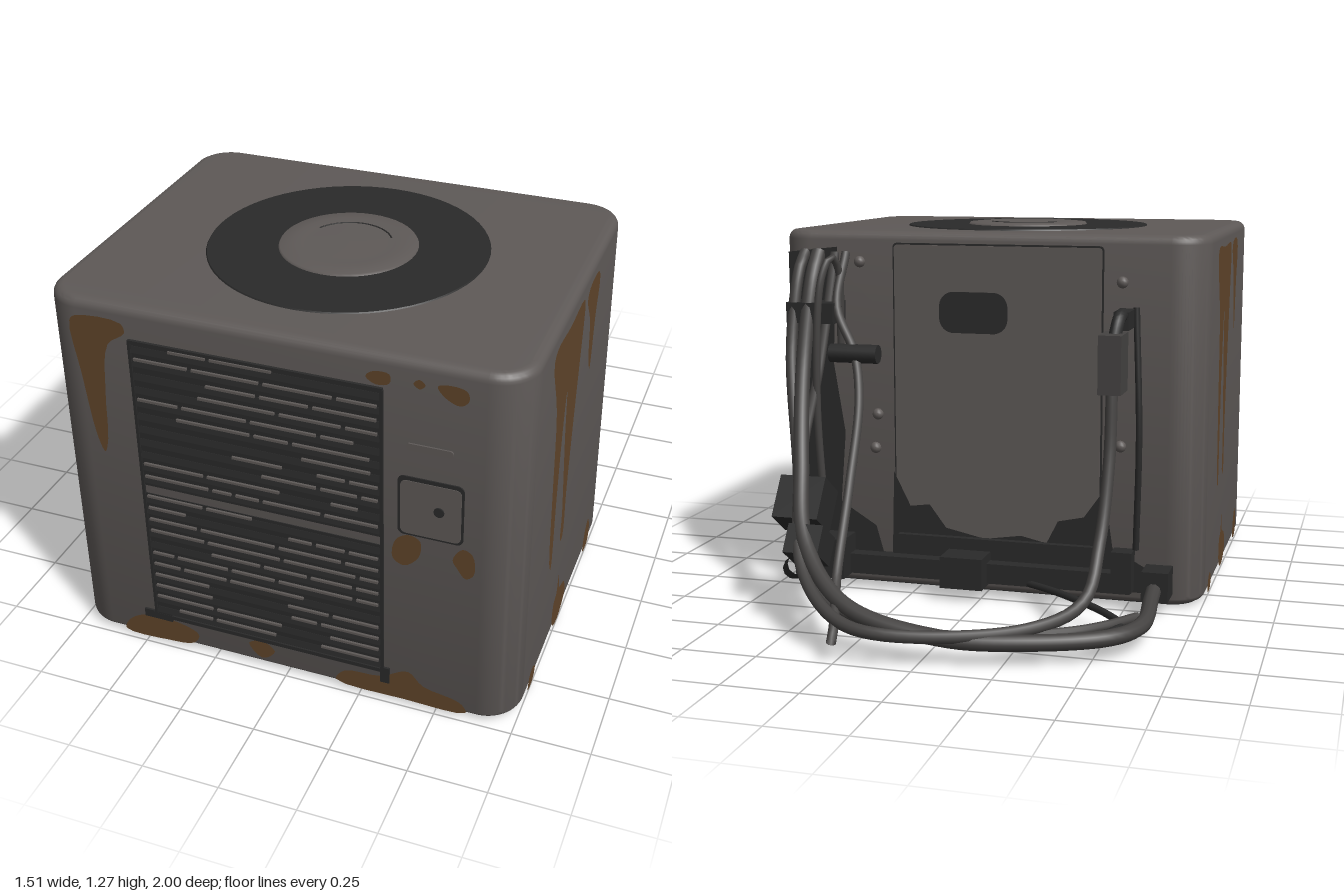
import * as THREE from 'three';
import { toCreasedNormals } from 'three/addons/utils/BufferGeometryUtils.js';

const mat = (name, color, side = THREE.FrontSide) => {
  const m = new THREE.MeshStandardMaterial({ color, side });
  m.name = name;
  return m;
};

export function createModel() {
  const casing = mat('casing grey', 0x5e5957);
  const dark = mat('charcoal', 0x2a2a2a);
  const cableGrey = mat('cable grey', 0x454342, THREE.DoubleSide);
  const rust = mat('rust', 0x60452a, THREE.DoubleSide);
  const root = new THREE.Group();
  const CZ = 0.3975, HZ = 0.5875, FRONT = 0.985, BACK = -0.19;

  const add = (name, geo, material, x = 0, y = 0, z = 0, parent = root) => {
    const m = new THREE.Mesh(geo, material);
    m.name = name;
    m.position.set(x, y, z);
    parent.add(m);
    return m;
  };
  const box = (name, material, x, y, z, w, h, d, parent) =>
    add(name, new THREE.BoxGeometry(w, h, d), material, x, y, z, parent);

  const roundRect = (w, h, r) => {
    const s = new THREE.Shape();
    s.moveTo(-w + r, -h).lineTo(w - r, -h).absarc(w - r, -h + r, r, -Math.PI / 2, 0);
    s.lineTo(w, h - r).absarc(w - r, h - r, r, 0, Math.PI / 2);
    s.lineTo(-w + r, h).absarc(-w + r, h - r, r, Math.PI / 2, Math.PI);
    s.lineTo(-w, -h + r).absarc(-w + r, -h + r, r, Math.PI, Math.PI * 1.5);
    return s;
  };
  const plate = (w, h, r, depth) =>
    new THREE.ExtrudeGeometry(roundRect(w, h, r), { depth, bevelEnabled: false, curveSegments: 6 });

  // Outline smoothed through a few points, used for stains and ragged edges
  const patch = (name, pts, material, parent, smooth = true) => {
    const v = pts.map(p => new THREE.Vector2(p[0], p[1]));
    let shape;
    if (smooth) {
      const c = new THREE.CatmullRomCurve3(v.map(p => new THREE.Vector3(p.x, p.y, 0)), true, 'centripetal');
      shape = new THREE.Shape(c.getPoints(v.length * 4).slice(0, -1).map(p => new THREE.Vector2(p.x, p.y)));
    } else shape = new THREE.Shape(v);
    return add(name, new THREE.ShapeGeometry(shape), material, 0, 0, 0, parent);
  };

  // Casing with rounded corners and softened edges
  const bev = 0.03;
  const bodyGeo = new THREE.ExtrudeGeometry(roundRect(0.75 - bev, HZ - bev, 0.09), {
    depth: 1.245 - 2 * bev, bevelThickness: bev, bevelSize: bev, bevelSegments: 5, curveSegments: 8,
  });
  bodyGeo.rotateX(-Math.PI / 2);
  add('casing', toCreasedNormals(bodyGeo, 0.6), casing, 0, 0.01 + bev, CZ);

  // Underside and feet
  const under = plate(0.72, HZ - 0.03, 0.09, 0.006);
  under.rotateX(-Math.PI / 2);
  add('underside', under, dark, 0, 0.005, CZ);
  for (const x of [-0.55, 0, 0.55]) for (const z of [-0.05, 0.4, 0.85])
    add('foot', new THREE.CylinderGeometry(0.05, 0.035, 0.012, 20), dark, x, 0.006, z);

  // Fan opening on top, with its hub
  add('fanRing', new THREE.CylinderGeometry(0.44, 0.445, 0.008, 64), dark, 0, 1.255, 0.39);
  const hub = [[0.22, 0], [0.215, 0.009], [0.17, 0.013], [0.145, 0.011], [0.12, 0.012], [0, 0.013]];
  add('fanHub', new THREE.LatheGeometry(hub.map(p => new THREE.Vector2(...p)), 48), casing, 0, 1.257, 0.39);
  const arc = add('hubGroove', new THREE.TorusGeometry(0.135, 0.003, 6, 32, 2.2), dark, 0, 1.268, 0.39);
  arc.rotation.set(-Math.PI / 2, 0, 0.5);

  // Front grille: two louvred panels
  let seed = 7;
  const rand = () => (seed = (seed * 16807) % 2147483647) / 2147483647;
  const gx = -0.065;
  const grille = new THREE.Group();
  grille.name = 'grille';
  root.add(grille);
  for (const [y0, y1] of [[0.12, 0.605], [0.635, 1.145]]) {
    box('grilleBacking', dark, gx, (y0 + y1) / 2, FRONT, 0.785, y1 - y0, 0.006, grille);
    const n = 11, step = (y1 - y0) / n;
    for (let i = 0; i < n; i++) {
      const y = y0 + (i + 0.5) * step;
      box('louvre', dark, gx, y, 0.988, 0.77, 0.022, 0.008, grille).rotation.x = -0.2;
      // Worn light edges, broken into uneven lengths
      let x = gx - 0.38;
      while (x < gx + 0.36) {
        const len = Math.min(0.06 + rand() * 0.2, gx + 0.38 - x);
        if (rand() < 0.7) box('louvreEdge', casing, x + len / 2, y + 0.014, 0.989, len, 0.008, 0.013, grille);
        x += len + 0.015;
      }
    }
  }
  box('grilleTopRail', dark, gx, 1.147, 0.987, 0.79, 0.01, 0.014, grille);
  for (const s of [-1, 1]) box('grilleSideRail', dark, gx + s * 0.392, 0.63, 0.987, 0.009, 1.03, 0.012, grille);
  box('grilleBottomRail', dark, gx, 0.118, 0.987, 0.8, 0.014, 0.012, grille);
  box('grilleFoot', dark, -0.45, 0.115, 0.987, 0.1, 0.03, 0.01, grille);
  box('grilleFoot', dark, 0.335, 0.1, 0.987, 0.03, 0.06, 0.01, grille);

  // Control panel
  add('controlRim', plate(0.1, 0.103, 0.02, 0.004), dark, 0.475, 0.77, FRONT);
  add('controlFace', plate(0.092, 0.093, 0.018, 0.006), casing, 0.476, 0.767, FRONT);
  add('controlKnob', new THREE.CylinderGeometry(0.016, 0.016, 0.01, 12).rotateX(Math.PI / 2), dark, 0.502, 0.772, 0.99);
  add('controlHood', plate(0.07, 0.012, 0.01, 0.005), casing, 0.47, 0.975, FRONT);

  // Rust on the front
  const frontRust = new THREE.Group();
  frontRust.name = 'frontRust';
  frontRust.position.z = FRONT + 0.003;
  root.add(frontRust);
  [
    [[-0.65, 1.18], [-0.63, 1.2], [-0.48, 1.2], [-0.47, 1.17], [-0.53, 1.12], [-0.555, 0.95], [-0.565, 0.78], [-0.58, 0.73], [-0.6, 0.78], [-0.63, 1.0]],
    [[0.28, 1.18], [0.3, 1.2], [0.35, 1.2], [0.35, 1.17], [0.31, 1.16]],
    [[0.42, 1.185], [0.438, 1.2], [0.455, 1.185], [0.438, 1.17]],
    [[0.49, 1.19], [0.53, 1.2], [0.575, 1.19], [0.58, 1.16], [0.555, 1.14], [0.51, 1.16]],
    [[0.37, 0.64], [0.41, 0.665], [0.445, 0.65], [0.44, 0.59], [0.395, 0.55], [0.36, 0.57]],
    [[0.545, 0.61], [0.575, 0.655], [0.605, 0.64], [0.61, 0.57], [0.585, 0.55], [0.56, 0.58]],
    [[-0.58, 0.02], [-0.56, 0.065], [-0.5, 0.1], [-0.38, 0.1], [-0.31, 0.07], [-0.33, 0.03], [-0.42, 0.015]],
    [[-0.13, 0.09], [-0.08, 0.11], [-0.04, 0.08], [-0.085, 0.04]],
    [[0.17, 0.03], [0.2, 0.075], [0.32, 0.09], [0.41, 0.135], [0.46, 0.09], [0.58, 0.06], [0.6, 0.025], [0.4, 0.018]],
  ].forEach(p => patch('rustStain', p, rust, frontRust));

  // Rust on the two sides, the same runs turned half round
  const sideStains = [
    [[0.74, 1.17], [0.71, 1.2], [0.55, 1.195], [0.39, 1.2], [0.37, 1.18], [0.39, 1.0], [0.42, 0.8], [0.45, 0.55], [0.46, 0.37], [0.49, 0.37],
      [0.49, 0.48], [0.5, 0.57], [0.53, 0.8], [0.545, 0.97], [0.57, 0.84], [0.59, 0.6], [0.605, 0.34], [0.63, 0.38], [0.65, 0.65], [0.67, 0.97]],
    [[0.335, 1.17], [0.31, 1.2], [0.19, 1.2], [0.17, 1.16], [0.2, 1.05], [0.23, 0.87], [0.26, 0.93], [0.28, 1.07]],
    [[0.53, 0.06], [0.52, 0.13], [0.485, 0.15], [0.47, 0.215], [0.45, 0.15], [0.38, 0.12], [0.36, 0.06], [0.43, 0.018], [0.5, 0.025]],
    [[0.82, 0.02], [0.81, 0.06], [0.77, 0.075], [0.74, 0.05], [0.76, 0.018]],
    [[0.09, 0.03], [0.07, 0.1], [0.03, 0.13], [0, 0.08], [0.01, 0.03], [0.05, 0.018]],
  ];
  for (const s of [1, -1]) {
    const side = new THREE.Group();
    side.name = s > 0 ? 'leftRust' : 'rightRust';
    side.position.set(s * 0.753, 0, CZ);
    side.rotation.y = s * Math.PI / 2;
    root.add(side);
    for (const p of sideStains) patch('rustStain', p.map(([z, y]) => [CZ - z, y]), rust, side);
  }

  // Back: access panel with slot, duct and broken lower edge (local x is mirrored)
  const back = new THREE.Group();
  back.name = 'back';
  back.position.z = BACK;
  back.rotation.y = Math.PI;
  root.add(back);
  add('panelSeam', plate(0.368, 0.542, 0.015, 0.004), dark, 0.04, 0.675, 0, back);
  add('accessPanel', plate(0.362, 0.536, 0.012, 0.009), casing, 0.04, 0.675, 0, back);
  add('handSlot', plate(0.12, 0.07, 0.05, 0.004), dark, -0.04, 0.985, 0.008, back);
  const ragged = [[-0.34, 0.05], [-0.33, 0.42], [-0.27, 0.3], [-0.2, 0.31], [-0.14, 0.23], [0, 0.2], [0.13, 0.22],
    [0.22, 0.2], [0.26, 0.28], [0.35, 0.3], [0.42, 0.4], [0.45, 0.2], [0.56, 0.14], [0.6, 0.05]];
  patch('brokenEdge', ragged, dark, back, false).position.z = 0.011;
  const duct = [[-0.7, 0.1], [-0.71, 1.18], [-0.53, 1.2], [-0.55, 0.8], [-0.51, 0.55], [-0.53, 0.3], [-0.4, 0.22], [-0.36, 0.08]];
  patch('cableDuct', duct, dark, back, false).position.z = 0.007;
  box('baseRail', dark, -0.03, 0.09, 0.03, 1.1, 0.07, 0.06, back);
  box('baseRail', dark, 0.04, 0.19, 0.02, 0.7, 0.025, 0.03, back);
  box('junctionBox', dark, -0.055, 0.1, 0.065, 0.15, 0.11, 0.11, back);
  for (const [x, y] of [[-0.39, 0.62], [-0.4, 0.5], [-0.45, 1.15], [0.47, 0.55], [0.47, 1.1]])
    add('bolt', new THREE.SphereGeometry(0.02, 12, 8), casing, x, y, 0, back);

  // Cables
  const cable = (name, r, material, pts) => {
    const c = new THREE.CatmullRomCurve3(pts.map(p => new THREE.Vector3(...p)), false, 'centripetal');
    add(name, new THREE.TubeGeometry(c, pts.length * 7, r, 10), material);
  };
  cable('mainCable', 0.026, cableGrey, [[-0.6, 0.1, -0.19], [-0.61, 0.08, -0.35], [-0.62, 0.07, -0.61], [-0.55, 0.07, -0.74], [-0.33, 0.07, -0.85],
    [-0.07, 0.08, -0.91], [0.25, 0.14, -0.87], [0.46, 0.28, -0.69], [0.55, 0.5, -0.5], [0.6, 0.8, -0.35], [0.6, 1.1, -0.25], [0.6, 1.18, -0.19]]);
  cable('plugCable', 0.02, cableGrey, [[-0.48, 0.78, -0.4], [-0.48, 0.55, -0.43], [-0.47, 0.3, -0.52], [-0.45, 0.15, -0.66], [-0.31, 0.1, -0.82],
    [0.1, 0.1, -0.98], [0.27, 0.12, -0.93], [0.45, 0.22, -0.75], [0.57, 0.48, -0.48], [0.65, 0.85, -0.33], [0.65, 1.12, -0.25], [0.65, 1.18, -0.19]]);
  cable('lowCable', 0.016, cableGrey, [[-0.6, 0.08, -0.55], [-0.52, 0.08, -0.66], [-0.42, 0.08, -0.75], [-0.18, 0.08, -0.86], [0.09, 0.08, -0.86],
    [0.35, 0.12, -0.78], [0.5, 0.25, -0.6], [0.58, 0.5, -0.42], [0.56, 0.8, -0.3], [0.54, 1.18, -0.19]]);
  cable('innerCable', 0.016, cableGrey, [[0.26, 0.06, -0.98], [0.27, 0.1, -0.93], [0.33, 0.2, -0.75], [0.36, 0.45, -0.55], [0.38, 0.7, -0.4],
    [0.42, 0.85, -0.33], [0.5, 1.0, -0.28], [0.5, 1.18, -0.19]]);
  cable('tieCable', 0.012, dark, [[-0.1, 0.06, -0.19], [-0.3, 0.07, -0.34], [-0.5, 0.07, -0.52], [-0.56, 0.07, -0.62], [-0.5, 0.07, -0.76]]);
  cable('loopCable', 0.013, cableGrey, [[0.52, 0.85, -0.2], [0.51, 1.13, -0.24], [0.52, 1.17, -0.28], [0.54, 1.1, -0.32], [0.56, 0.7, -0.33], [0.55, 0.25, -0.3]]);
  cable('thinCable', 0.011, dark, [[-0.53, 0.2, -0.2], [-0.54, 0.6, -0.23], [-0.52, 1.02, -0.2]]);
  cable('floorPipe', 0.035, dark, [[0.62, 0.1, -0.19], [0.62, 0.1, -0.38], [0.58, 0.14, -0.52], [0.5, 0.2, -0.66]]);

  // Plugs, clamps and brackets holding the cables
  box('plug', cableGrey, -0.48, 0.86, -0.39, 0.075, 0.19, 0.12);
  box('plugBracket', dark, -0.49, 0.985, -0.25, 0.05, 0.06, 0.13);
  cable('plugPipe', 0.022, dark, [[-0.49, 0.99, -0.19], [-0.49, 1.0, -0.34], [-0.48, 0.92, -0.39]]);
  box('cableClamp', dark, 0.54, 0.36, -0.5, 0.16, 0.15, 0.13).rotation.x = 0.6;
  box('cableClamp', dark, 0.47, 0.26, -0.64, 0.12, 0.1, 0.12).rotation.x = 0.6;
  box('cableClamp', dark, 0.59, 0.98, -0.25, 0.17, 0.07, 0.12);
  const valve = add('valve', new THREE.CylinderGeometry(0.032, 0.032, 0.17, 14), dark, 0.42, 0.85, -0.33);
  valve.rotation.z = Math.PI / 2;
  box('cableSocket', dark, 0.57, 0.12, -0.25, 0.18, 0.14, 0.13);
  box('cableSocket', dark, -0.61, 0.1, -0.23, 0.09, 0.1, 0.12);
  box('cableSocket', dark, -0.49, 0.13, -0.22, 0.07, 0.14, 0.07);

  return root;
}
